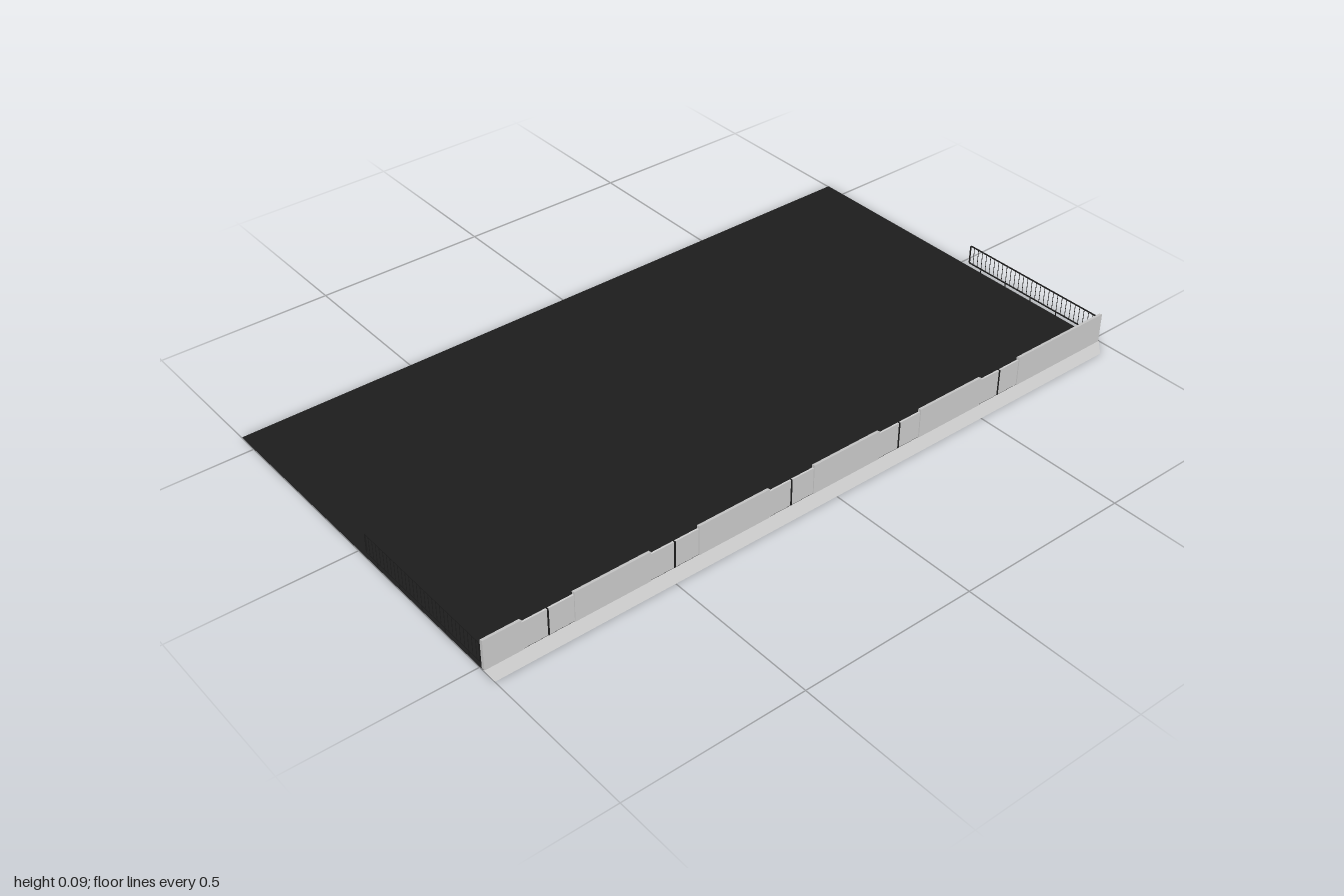
import * as THREE from 'three';
import { mergeGeometries } from 'three/addons/utils/BufferGeometryUtils.js';

const mat = (color) => new THREE.MeshStandardMaterial({ color, side: THREE.DoubleSide });
const grey = mat(0xcccccc), black = mat(0x1c1c1c), yellow = mat(0xe8cf00);

// box given by its lower and upper limits
function box(x0, x1, y0, y1, z0, z1) {
  return new THREE.BoxGeometry(x1 - x0, y1 - y0, z1 - z0)
    .translate((x0 + x1) / 2, (y0 + y1) / 2, (z0 + z1) / 2);
}

function part(name, geometries, material) {
  const mesh = new THREE.Mesh(mergeGeometries(geometries), material);
  mesh.name = name;
  return mesh;
}

// flat shape from (x, z) corners, lying at height y and facing up
function flat(points, y) {
  const shape = new THREE.Shape(points.map(([x, z]) => new THREE.Vector2(x, -z)));
  return new THREE.ShapeGeometry(shape).rotateX(-Math.PI / 2).translate(0, y, 0);
}

function roundedRect(x0, x1, y0, y1, r, path) {
  path.moveTo(x0 + r, y0);
  path.lineTo(x1 - r, y0).quadraticCurveTo(x1, y0, x1, y0 + r);
  path.lineTo(x1, y1 - r).quadraticCurveTo(x1, y1, x1 - r, y1);
  path.lineTo(x0 + r, y1).quadraticCurveTo(x0, y1, x0, y1 - r);
  path.lineTo(x0, y0 + r).quadraticCurveTo(x0, y0, x0 + r, y0);
  return path;
}

function createRailing(name, z) {
  const group = new THREE.Group();
  group.name = name;
  const x0 = 0.033, x1 = 0.503, y0 = 0.015, y1 = 0.074, w = 0.003;

  // rounded outer frame
  const outline = roundedRect(x0, x1, y0, y1, 0.006, new THREE.Shape());
  outline.holes.push(roundedRect(x0 + w, x1 - w, y0 + w, y1 - w, 0.004, new THREE.Path()));
  const frame = new THREE.ExtrudeGeometry(outline, { depth: w, bevelEnabled: false, curveSegments: 4 })
    .translate(0, 0, -w / 2);
  group.add(part('railingFrame', [frame], black));

  // thin bars, with a foot under every sixth
  const bars = [], feet = [], count = 30, step = (x1 - x0) / count;
  for (let i = 1; i < count; i++) {
    const x = x0 + i * step;
    bars.push(box(x - 0.0006, x + 0.0006, y0 + w / 2, y1 - w / 2, -0.0006, 0.0006));
    if (i % 6 === 3) feet.push(box(x - 0.001, x + 0.001, 0.002, y0 + w / 2, -0.001, 0.001));
  }
  group.add(part('railingBars', bars, black), part('railingFeet', feet, black));
  group.position.z = z;
  return group;
}

export function createModel() {
  const model = new THREE.Group();
  model.name = 'platform';

  // platform floor and the kerb strip behind the wall
  model.add(part('floor', [flat([[-0.56, 1], [0.515, 1], [0.515, -1], [-0.56, -1]], 0.002)], black));
  model.add(part('outerKerb', [flat([[0.515, 1], [0.56, 1], [0.56, -0.955], [0.515, -1]], 0.002)], grey));

  // raised warning strip with studs
  const strip = [box(0.472, 0.492, 0, 0.0035, -0.955, 0.975)];
  for (let i = 0; i < 96; i++) {
    const z = -0.945 + i * 0.02;
    for (const x of [0.476, 0.482, 0.488])
      strip.push(box(x - 0.0018, x + 0.0018, 0.003, 0.0045, z - 0.006, z + 0.006));
  }
  model.add(part('warningStrip', strip, yellow));

  // wall: tall panels alternating with lower, recessed panels split by a post
  const tall = [], low = [], posts = [];
  let front = 1;
  for (let i = 0; i < 5; i++) {
    const mid = 0.826 - i * 0.357, a = mid + 0.071, b = mid - 0.071;
    tall.push(box(0.509, 0.519, 0.004, 0.091, a, front));
    low.push(box(0.511, 0.516, 0.004, 0.081, b, a));
    posts.push(box(0.51, 0.5175, 0.004, 0.0812, mid - 0.002, mid + 0.002));
    front = b;
  }
  tall.push(box(0.509, 0.519, 0.004, 0.091, -0.993, front));

  // slope the wall tops down towards the platform
  for (const g of tall) {
    const p = g.attributes.position;
    for (let i = 0; i < p.count; i++)
      if (p.getY(i) > 0.09 && p.getX(i) < 0.512) p.setY(i, 0.088);
    g.computeVertexNormals();
  }
  model.add(part('tallWallPanels', tall, grey));
  model.add(part('lowWallPanels', low, grey));
  model.add(part('wallPosts', posts, black));

  // railings across both ends
  model.add(createRailing('frontRailing', 0.997), createRailing('backRailing', -0.997));
  return model;
}
